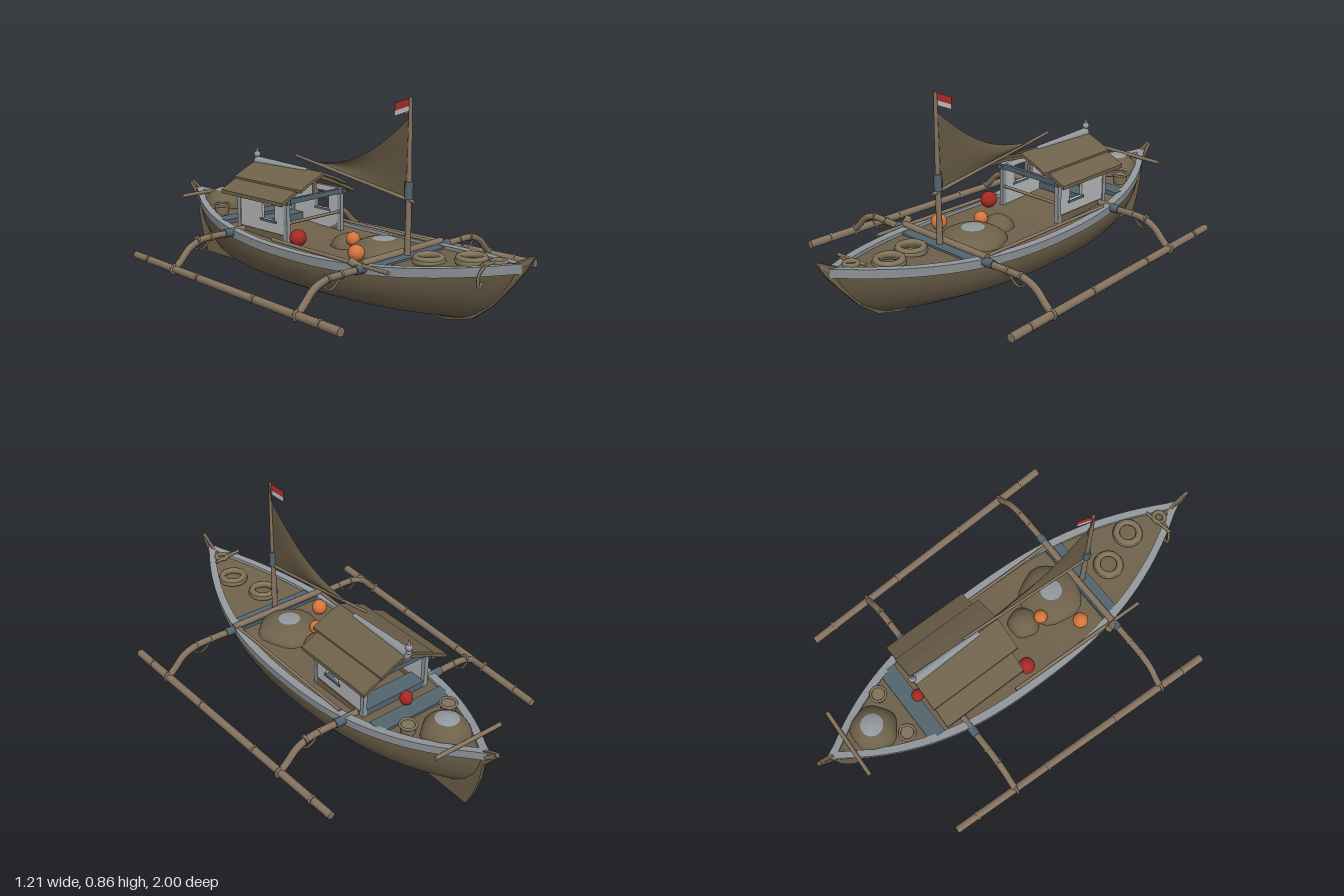
import * as THREE from 'three';

const mat = (name, color, side = THREE.FrontSide) =>
  Object.assign(new THREE.MeshStandardMaterial({ color, side }), { name });
const V = (x, y, z) => new THREE.Vector3(x, y, z);

// Deck outline and sheer line of the hull
const L = 0.94;
const halfWidth = z => 0.258 * (1 - Math.pow(Math.min(1, Math.abs(z) / L), z > 0 ? 2.4 : 2.7));
const sheer = z => 0.205 + 0.1 * z * z;

// Surface from a rule fn(u, v) with u, v in 0..1
function grid(nu, nv, fn) {
  const pos = [], idx = [];
  for (let i = 0; i <= nu; i++) for (let j = 0; j <= nv; j++) pos.push(...fn(i / nu, j / nv));
  for (let i = 0; i < nu; i++) for (let j = 0; j < nv; j++) {
    const a = i * (nv + 1) + j, b = a + nv + 1;
    idx.push(a, b, a + 1, b, b + 1, a + 1);
  }
  const g = new THREE.BufferGeometry();
  g.setAttribute('position', new THREE.Float32BufferAttribute(pos, 3));
  g.setIndex(idx);
  g.computeVertexNormals();
  return g;
}

export function createModel() {
  const D = THREE.DoubleSide;
  const wood = mat('weathered wood', 0x6f624c, D);
  const bamboo = mat('bamboo', 0x857360);
  const paint = mat('grey paint', 0x92989c, D);
  const blue = mat('slate blue paint', 0x54656f);
  const white = mat('pale paint', 0xb4b7b9, D);
  const canvas = mat('canvas', 0x675a45, D);
  const rope = mat('rope', 0x82745a);
  const red = mat('red', 0xa62a24, D);
  const orange = mat('orange', 0xd6743c);
  const boat = new THREE.Group();
  boat.name = 'outriggerBoat';

  const add = (name, geo, m, x = 0, y = 0, z = 0) => {
    const mesh = new THREE.Mesh(geo, m);
    mesh.name = name;
    mesh.position.set(x, y, z);
    boat.add(mesh);
    return mesh;
  };
  const box = (name, m, w, h, d, x, y, z) => add(name, new THREE.BoxGeometry(w, h, d), m, x, y, z);
  const rod = (name, m, a, b, r0, r1 = r0) => {
    const dir = b.clone().sub(a);
    const mesh = add(name, new THREE.CylinderGeometry(r1, r0, dir.length(), 10), m);
    mesh.position.copy(a).add(b).multiplyScalar(0.5);
    mesh.quaternion.setFromUnitVectors(V(0, 1, 0), dir.normalize());
    return mesh;
  };
  const tube = (name, m, pts, r, n = 20) =>
    add(name, new THREE.TubeGeometry(new THREE.CatmullRomCurve3(pts), n, r, 8), m);
  const ball = (name, m, r, x, y, z, sy = 1) => {
    const b = add(name, new THREE.SphereGeometry(r, 20, 14), m, x, y, z);
    b.scale.y = sy;
    return b;
  };
  // Extrudes a side outline given in (z, y) across x
  const sidePlate = (name, m, pts, thick, x, hole) => {
    const s = new THREE.Shape(pts.map(([z, y]) => new THREE.Vector2(-z, y)));
    if (hole) s.holes.push(new THREE.Path(hole.map(([z, y]) => new THREE.Vector2(-z, y))));
    const g = new THREE.ExtrudeGeometry(s, { depth: thick, bevelEnabled: false });
    g.translate(0, 0, -thick / 2).rotateY(Math.PI / 2);
    return add(name, g, m, x);
  };

  // Hull: each row runs bow to stern [width, height, bow z, stern z]
  const rows = [[1, 1, 0.94, 0.94], [0.99, 0.8, 0.91, 0.93], [0.95, 0.6, 0.87, 0.91], [0.88, 0.4, 0.82, 0.87],
    [0.79, 0.24, 0.76, 0.82], [0.64, 0.13, 0.71, 0.76], [0.34, 0.06, 0.65, 0.68], [0, 0, 0.58, 0.6]];
  for (const side of [1, -1]) {
    add('hullSide', grid(40, rows.length - 1, (u, v) => {
      const [w, h, f, b] = rows[Math.round(v * (rows.length - 1))];
      const s = Math.sin((u - 0.5) * Math.PI), z = s > 0 ? s * f : s * b;
      return [side * w * halfWidth(s * L), 0.018 + (sheer(z) - 0.018) * h, z];
    }), wood);
    // Gunwale wraps the deck edge
    const rail = [[0.004, -0.022], [0.008, 0.016], [-0.028, 0.016], [-0.028, -0.014]];
    for (let k = 0; k < 3; k++) add('gunwale', grid(40, 1, (u, v) => {
      const z = (u - 0.5) * 1.9, [dx, dy] = rail[k + v];
      return [side * Math.max(0, halfWidth(z) + dx), sheer(z) + dy, z];
    }), paint);
  }
  add('deck', grid(40, 2, (u, v) => {
    const z = (u - 0.5) * 1.86;
    return [(v - 0.5) * 1.9 * halfWidth(z), sheer(z) + 0.002, z];
  }), wood);

  // Keel, stem and skeg in one thin plate
  sidePlate('keel', wood, [[1, 0.35], [0.96, 0.285], [0.9, 0.21], [0.82, 0.12], [0.73, 0.05], [0.62, 0.02], [0, 0.003],
    [-0.87, 0], [-0.9, 0.07], [-0.925, 0.16], [-0.935, 0.24], [-1, 0.325], [-0.985, 0.335], [-0.88, 0.285], [-0.75, 0.15],
    [-0.5, 0.03], [0.5, 0.03], [0.75, 0.15], [0.88, 0.29], [0.98, 0.345]], 0.016, 0);
  rod('sternPost', bamboo, V(0, 0.275, -0.93), V(0, 0.325, -0.99), 0.013, 0.01);
  rod('stemPost', bamboo, V(0, 0.28, 0.92), V(0, 0.335, 0.985), 0.012, 0.009);
  rod('sternCrossPole', bamboo, V(-0.16, 0.3, -0.855), V(0.165, 0.3, -0.845), 0.009);

  // Painted thwarts and cross beams
  box('rearThwart', blue, 0.37, 0.03, 0.075, 0, 0.235, -0.535);
  box('frontThwart', blue, 0.42, 0.025, 0.08, 0, 0.222, 0.395);
  rod('frontCrossPole', bamboo, V(-0.24, 0.24, 0.375), V(0.24, 0.24, 0.375), 0.015);
  rod('rearCrossPole', bamboo, V(-0.24, 0.228, -0.4), V(0.24, 0.228, -0.4), 0.014);

  // Outriggers
  for (const s of [1, -1]) {
    rod('float', bamboo, V(s * 0.53, 0.12, -0.7), V(s * 0.588, 0.118, 0.61), 0.016, 0.018);
    for (const t of [0, 0.33, 0.66, 1])
      rod('floatJoint', bamboo, V(s * (0.535 + 0.048 * t), 0.12, -0.6 + 1.1 * t),
        V(s * (0.536 + 0.048 * t), 0.12, -0.588 + 1.1 * t), 0.02);
    for (const [z, end] of [[0.38, 0.578], [-0.4, 0.545]]) {
      const k = end - 0.578;
      tube('outriggerArm', bamboo, [V(s * 0.22, 0.22, z), V(s * 0.34, 0.224, z), V(s * (0.44 + k), 0.22, z),
        V(s * (0.5 + k), 0.195, z), V(s * (0.545 + k), 0.15, z), V(s * end, 0.122, z)], 0.0145, 24);
      rod('armSleeve', blue, V(s * 0.21, 0.222, z), V(s * 0.28, 0.224, z), 0.019);
      for (const x of [0.35, 0.42]) rod('armLashing', rope, V(s * x, 0.224, z), V(s * (x + 0.01), 0.223, z), 0.018);
      add('floatLashing', new THREE.TorusGeometry(0.019, 0.006, 6, 14), rope, s * end, 0.12, z);
      tube('slackRope', rope, [V(s * 0.36, 0.215, z), V(s * 0.39, 0.185, z), V(s * 0.42, 0.178, z), V(s * 0.455, 0.21, z)], 0.004);
    }
  }

  // Cabin walls with window openings
  for (const s of [1, -1]) {
    sidePlate('cabinWall', white, [[-0.13, 0.2], [-0.43, 0.2], [-0.43, 0.4], [-0.13, 0.4]], 0.012, s * 0.16,
      [[-0.2, 0.295], [-0.28, 0.295], [-0.28, 0.375], [-0.2, 0.375]]);
    box('wallSkirt', wood, 0.016, 0.04, 0.31, s * 0.162, 0.222, -0.28);
    box('windowSill', blue, 0.02, 0.01, 0.1, s * 0.162, 0.29, -0.24);
    box('eaveBeam', blue, 0.02, 0.02, 0.36, s * 0.165, 0.388, -0.29);
    for (const z of [-0.13, -0.43]) box('cabinPost', paint, 0.02, 0.2, 0.02, s * 0.16, 0.3, z);
  }
  for (const z of [-0.13, -0.43]) {
    box('tieBeam', blue, 0.35, 0.022, 0.018, 0, 0.388, z);
    box('kingPost', bamboo, 0.014, 0.08, 0.014, 0, 0.43, z);
  }
  box('cabinBench', blue, 0.3, 0.03, 0.08, 0, 0.24, -0.4);
  rod('cabinHandrail', bamboo, V(-0.17, 0.295, -0.13), V(0.17, 0.295, -0.13), 0.007);

  // Two overlapping layers of roof
  const roof = (name, ridge, w, drop, t, z0, z1) => {
    const p = [[0, ridge], [w * 0.55, ridge - drop * 0.5], [w, ridge - drop]];
    const outline = [...p, ...p.slice().reverse().map(([x, y]) => [x, y - t]),
      ...p.slice(1).map(([x, y]) => [-x, y - t]), ...p.slice(1).reverse().map(([x, y]) => [-x, y])];
    add(name, new THREE.ExtrudeGeometry(new THREE.Shape(outline.map(q => new THREE.Vector2(...q))),
      { depth: z1 - z0, bevelEnabled: false }), wood, 0, 0, z0);
  };
  roof('lowerRoof', 0.487, 0.215, 0.092, 0.016, -0.495, -0.1);
  roof('upperRoof', 0.5, 0.135, 0.058, 0.013, -0.5, -0.07);
  rod('ridgeCap', paint, V(0, 0.494, -0.5), V(0, 0.494, -0.17), 0.022, 0.011);
  rod('lampStem', paint, V(0, 0.5, -0.5), V(0, 0.56, -0.5), 0.012, 0.003);
  ball('lamp', paint, 0.015, 0, 0.525, -0.5);

  // Mast, boom and sail
  rod('mast', bamboo, V(0, 0.2, 0.4), V(0, 0.86, 0.405), 0.014, 0.007);
  rod('mastFoot', blue, V(0, 0.46, 0.402), V(0, 0.53, 0.402), 0.017);
  rod('boom', bamboo, V(0, 0.452, 0.43), V(0, 0.552, -0.245), 0.008, 0.006);
  add('sail', grid(16, 10, (u, v) => {
    const foot = 0.457 + 0.092 * u, top = 0.78 - 0.25 * u - 0.085 * Math.sin(Math.PI * u) * (1 - 0.3 * u);
    return [0.012 * Math.sin(Math.PI * u) * Math.sin(Math.PI * v), foot + Math.max(0, top - foot) * v, 0.4 - 0.59 * u];
  }), canvas);
  // Pennant folded over the mast head
  for (const s of [1, -1]) for (const [name, m, y0, y1] of [['pennantRed', red, 0, 0.03], ['pennantPale', white, 0.03, 0.05]])
    add(name, grid(4, 1, (u, v) => [s * 0.03 * u, 0.86 - (y0 + (y1 - y0) * v) - 0.026 * u, 0.41 - 0.06 * u]), m);

  // Cargo mounds with lumpy cloth covers
  const mound = (x, z, r, h, cap) => {
    const lump = g => {
      const p = g.attributes.position;
      for (let i = 0; i < p.count; i++) {
        const a = Math.atan2(p.getZ(i), p.getX(i));
        const k = 1 + 0.05 * Math.sin(a * 5 + x * 20) * (1 - Math.abs(p.getY(i)));
        p.setXYZ(i, p.getX(i) * k, p.getY(i), p.getZ(i) * k);
      }
      g.computeVertexNormals();
      return g;
    };
    const y = sheer(z) - 0.005;
    add('cargoBundle', lump(new THREE.SphereGeometry(1, 24, 12, 0, Math.PI * 2, 0, Math.PI / 2)), wood, x, y, z).scale.set(r, h, r);
    if (cap) add('cargoPatch', lump(new THREE.SphereGeometry(1.01, 16, 5, 0, Math.PI * 2, 0, cap)), paint, x, y, z).scale.set(r, h, r);
  };
  mound(0.03, 0.245, 0.14, 0.065, 0.35);
  mound(0, 0.07, 0.07, 0.06, 0);
  mound(0, -0.73, 0.1, 0.085, 0.5);
  for (const s of [1, -1]) {
    rod('basket', rope, V(s * 0.105, 0.235, -0.63), V(s * 0.105, 0.285, -0.63), 0.028, 0.035);
    add('basketRim', new THREE.TorusGeometry(0.033, 0.006, 6, 18).rotateX(Math.PI / 2), bamboo, s * 0.105, 0.286, -0.63);
  }

  // Rope coils on the foredeck
  for (const [x, z] of [[-0.025, 0.53], [0.035, 0.69]])
    for (const [r, dy] of [[0.054, 0.01], [0.05, 0.02]])
      add('ropeCoil', new THREE.TorusGeometry(r, 0.014, 8, 28).rotateX(Math.PI / 2), rope, x, sheer(z) + dy, z);

  // Buoys
  ball('redBuoy', red, 0.036, -0.172, 0.25, -0.05);
  ball('redBuoy', red, 0.027, 0, 0.28, -0.5, 1.15);
  ball('orangeBuoy', orange, 0.034, -0.152, 0.245, 0.265);
  ball('orangeBuoy', orange, 0.03, -0.035, 0.255, 0.135);

  // Oar, anchor and bow line
  rod('oar', bamboo, V(-0.245, 0.235, 0.52), V(-0.225, 0.235, -0.15), 0.008);
  rod('rowlock', rope, V(-0.262, 0.25, 0.335), V(-0.242, 0.22, 0.39), 0.016);
  rod('railPole', bamboo, V(0.222, 0.236, 0.36), V(0.222, 0.236, -0.36), 0.007);
  add('anchorRope', new THREE.TorusGeometry(0.025, 0.01, 8, 18).rotateX(Math.PI / 2), rope, 0, 0.295, 0.84);
  rod('anchorStock', rope, V(-0.09, 0.3, 0.83), V(0.05, 0.295, 0.81), 0.007);
  tube('bowLine', rope, [V(-0.02, 0.3, 0.84), V(-0.075, 0.292, 0.83), V(-0.098, 0.25, 0.82), V(-0.09, 0.205, 0.82), V(-0.075, 0.23, 0.82)], 0.006);

  return boat;
}
